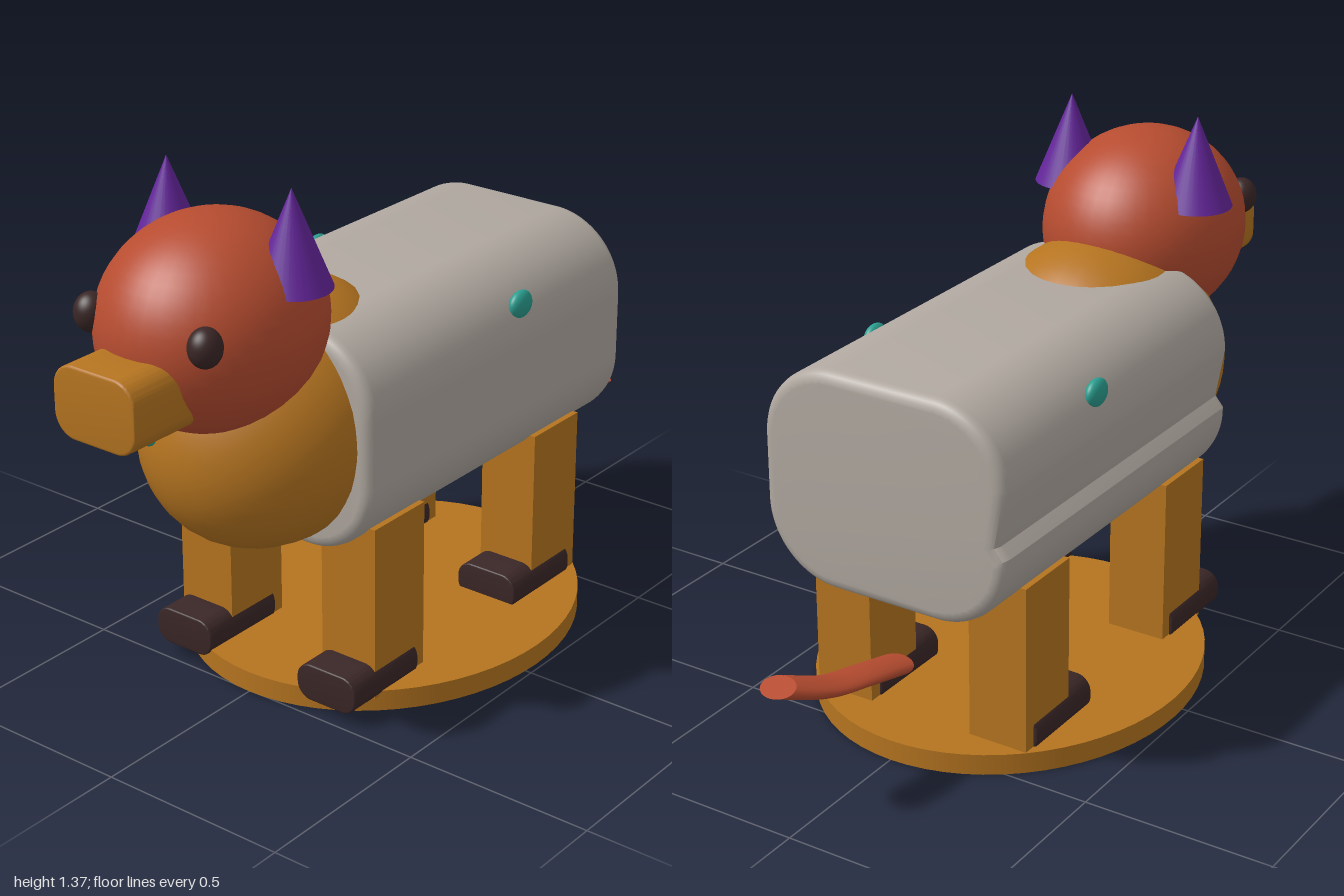
import * as THREE from 'three';
import { toCreasedNormals } from 'three/addons/utils/BufferGeometryUtils.js';

const material = (name, color, side = THREE.FrontSide) => {
  const m = new THREE.MeshStandardMaterial({ color, side });
  m.name = name;
  return m;
};

// Rounded rectangle in x-y, extruded along z and centred on the origin
function roundedBar(w, h, d, r, bevel, notch = 0) {
  const x = w / 2 - bevel, y = h / 2 - bevel, c = r - bevel;
  const s = new THREE.Shape();
  s.moveTo(-x + c, -y);
  s.lineTo(x - c, -y);
  s.absarc(x - c, -y + c, c, -Math.PI / 2, 0);
  s.lineTo(x, y - c);
  s.absarc(x - c, y - c, c, 0, Math.PI / 2);
  s.lineTo(-x + c, y);
  s.absarc(-x + c, y - c, c, Math.PI / 2, Math.PI);
  if (notch) s.lineTo(-x + notch, -y + c + 0.03);
  s.lineTo(-x, -y + c);
  s.absarc(-x + c, -y + c, c, Math.PI, Math.PI * 1.5);
  const g = new THREE.ExtrudeGeometry(s, {
    depth: d - 2 * bevel, bevelEnabled: bevel > 0, bevelSize: bevel,
    bevelThickness: bevel, bevelSegments: 4, curveSegments: 12,
  });
  g.translate(0, 0, -(d - 2 * bevel) / 2);
  return toCreasedNormals(g, 0.5);
}

export function createModel() {
  const model = new THREE.Group();
  model.name = 'toyAnimal';
  const wood = material('wood', 0xb57420);
  const red = material('russet', 0xb64c30);
  const grey = material('bodyGrey', 0xb0a8a0);
  const dark = material('darkBrown', 0x3a2626);
  const purple = material('purple', 0x64259a);
  const teal = material('teal', 0x2a9d8f);
  const redOpen = material('tailRusset', 0xb64c30, THREE.DoubleSide);

  const add = (name, geometry, mat, x, y, z) => {
    const mesh = new THREE.Mesh(geometry, mat);
    mesh.name = name;
    mesh.position.set(x, y, z);
    model.add(mesh);
    return mesh;
  };
  const ball = (name, mat, x, y, z, rx, ry, rz) => {
    const mesh = add(name, new THREE.SphereGeometry(1, 40, 28), mat, x, y, z);
    mesh.scale.set(rx, ry, rz);
    return mesh;
  };

  // Oval stand
  add('base', new THREE.CylinderGeometry(1, 1, 0.055, 64), wood, 0, 0.0275, -0.045)
    .scale.set(0.485, 1, 0.55);

  // Body, with a shallow crease low on its right flank, and the chest
  add('body', roundedBar(0.685, 0.57, 1.065, 0.2, 0.03, 0.025), grey, 0, 0.715, -0.0775);
  ball('chest', wood, 0, 0.7375, 0.4, 0.31, 0.306, 0.359).rotation.x = 0.57;

  // Head and snout
  ball('head', red, 0, 1.03, 0.603, 0.26, 0.26, 0.292);
  add('snout', roundedBar(0.245, 0.18, 0.22, 0.06, 0.006), wood, 0, 0.94, 0.89);

  const legGeometry = new THREE.BoxGeometry(0.163, 0.46, 0.195);
  const footGeometry = roundedBar(0.18, 0.098, 0.252, 0.042, 0.004);
  for (const side of [1, -1]) {
    const label = side > 0 ? 'left' : 'right';

    // Face details
    ball(label + 'Eye', dark, side * 0.172, 1.075, 0.82, 0.04, 0.048, 0.042);
    add(label + 'Ear', new THREE.ConeGeometry(0.095, 0.235, 32), purple, side * 0.187, 1.2525, 0.538);
    ball(label + 'MouthCorner', teal, side * 0.063, 0.848, 0.895, 0.016, 0.012, 0.014);

    // Button on the flank
    ball(label + 'Button', teal, side * 0.321, 0.9, -0.173, 0.021, 0.036, 0.042);

    // Legs and feet
    for (const [end, z, footZ] of [['Front', 0.2975, 0.36], ['Back', -0.3675, -0.304]]) {
      add(label + end + 'Leg', legGeometry, wood, side * 0.2285, 0.27, z);
      add(label + end + 'Foot', footGeometry, dark, side * 0.23, 0.081, footZ);
    }
  }

  // Flattened curved tail, set low behind the body
  const path = new THREE.CatmullRomCurve3([
    [0, 0.842, -0.565], [0, 0.96, -0.7], [0.01, 1.06, -0.83], [0.05, 1.217, -0.955],
  ].map((p) => new THREE.Vector3(...p)));
  add('tail', new THREE.TubeGeometry(path, 24, 0.05, 20), redOpen, 0, 0, 0).scale.y = 0.3;
  // Tail end caps
  for (const t of [0, 1]) {
    const cap = new THREE.CircleGeometry(0.05, 20);
    const direction = path.getTangentAt(t).multiplyScalar(t ? 1 : -1);
    cap.applyQuaternion(new THREE.Quaternion().setFromUnitVectors(new THREE.Vector3(0, 0, 1), direction));
    const p = path.getPointAt(t);
    cap.translate(p.x, p.y, p.z);
    add(t ? 'tailTip' : 'tailRoot', cap, redOpen, 0, 0, 0).scale.y = 0.3;
  }

  return model;
}
